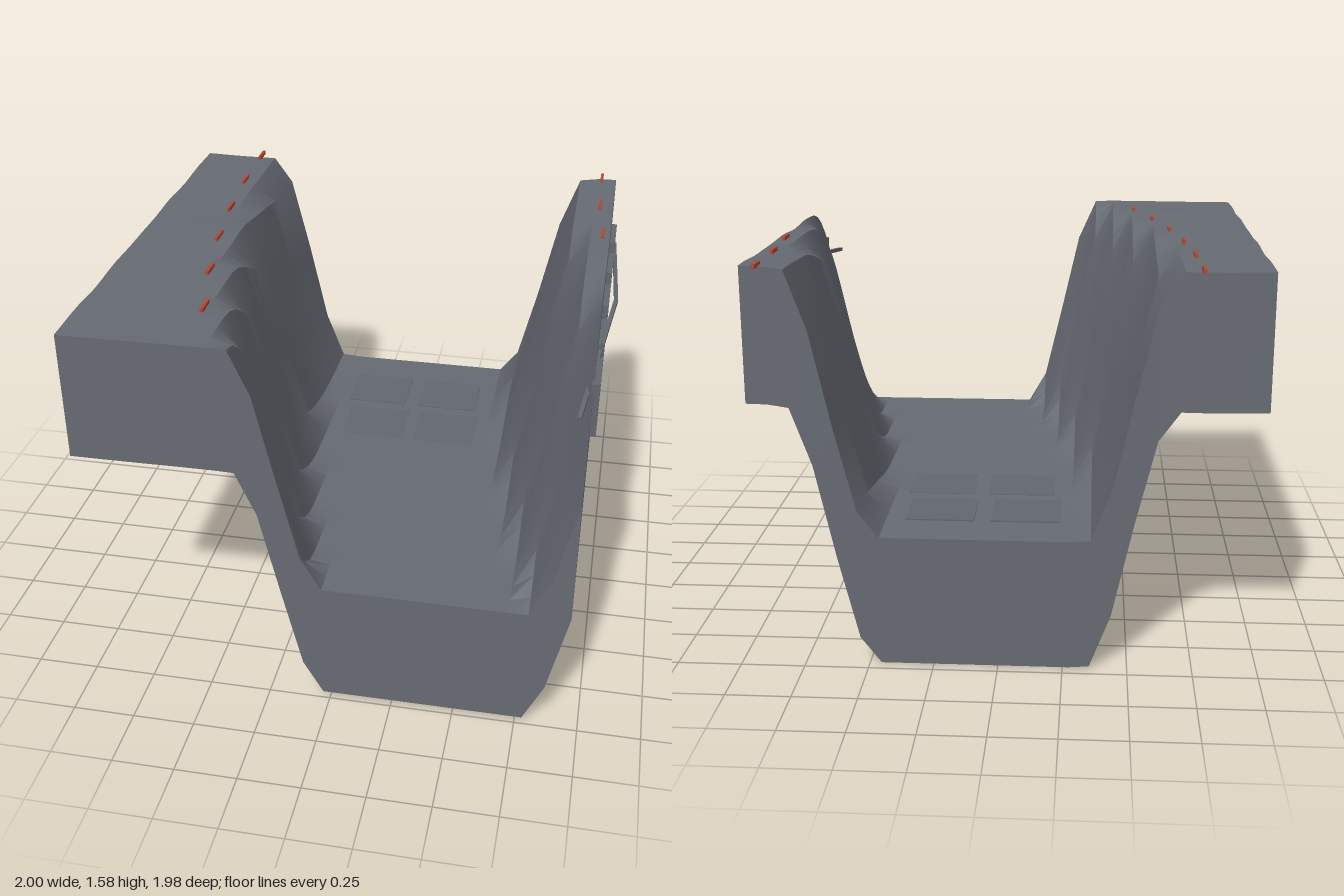
import * as THREE from 'three';
import { toCreasedNormals } from 'three/addons/utils/BufferGeometryUtils.js';

const X0 = -1, X1 = 0.94, Z0 = -0.95, Z1 = 0.985, N = 24, SKIRT = 0.52;

// Valley centre line bends towards +x as it nears the front.
const centre = z => 0.067 + 0.081 * (z - Z0) ** 2;

// Ground height: flat valley floor, smooth steep walls, slightly bumpy plateaus.
function height(x, z) {
  const floor = 0.52 + 0.017 * (z - Z0) / (Z1 - Z0);
  const t = THREE.MathUtils.smoothstep(Math.abs(x - centre(z)), 0.405, 0.73);
  const bump = 0.004 * Math.sin(9 * x + 2) * Math.cos(11 * z) + 0.002 * Math.sin(17 * z + 5 * x);
  return THREE.MathUtils.lerp(floor, 1.56 + bump, t);
}

export function createModel() {
  const group = new THREE.Group();
  const material = (name, color, side = THREE.FrontSide) => {
    const m = new THREE.MeshStandardMaterial({ color, side });
    m.name = name;
    return m;
  };
  const rock = material('slate grey', 0x666a72, THREE.DoubleSide);
  const stone = material('panel grey', 0x62666e);
  const red = material('marker red', 0xb5452f);

  const add = (name, geometry, mat, x = 0, y = 0, z = 0) => {
    const mesh = new THREE.Mesh(geometry, mat);
    mesh.name = name;
    mesh.position.set(x, y, z);
    group.add(mesh);
    return mesh;
  };

  // Terrain surface: a plane grid lifted by the height rule
  const ground = new THREE.PlaneGeometry(X1 - X0, Z1 - Z0, N, N);
  ground.rotateX(-Math.PI / 2);
  ground.translate((X0 + X1) / 2, 0, (Z0 + Z1) / 2);
  const p = ground.attributes.position;
  for (let i = 0; i < p.count; i++) p.setY(i, height(p.getX(i), p.getZ(i)));
  add('valleyTerrain', toCreasedNormals(ground, 0.5), rock);

  // Vertical skirts hanging from the four edges, open underneath
  const skirt = (name, ax, az, bx, bz) => {
    const g = new THREE.PlaneGeometry(1, 1, N, 1);
    const q = g.attributes.position;
    for (let i = 0; i < q.count; i++) {
      const s = q.getX(i) + 0.5;
      const x = ax + (bx - ax) * s, z = az + (bz - az) * s;
      q.setXYZ(i, x, height(x, z) - (q.getY(i) > 0 ? 0 : SKIRT), z);
    }
    g.computeVertexNormals();
    add(name, g, rock);
  };
  skirt('frontSkirt', X0, Z1, X1, Z1);
  skirt('backSkirt', X1, Z0, X0, Z0);
  skirt('leftSkirt', X1, Z1, X1, Z0);
  skirt('rightSkirt', X0, Z0, X0, Z1);

  // Row of upright panels on the outer wall
  for (let i = 0; i < 5; i++) {
    add('wallPanel', new THREE.BoxGeometry(0.03, 0.22, 0.21), stone, 0.948, 1.3, 0.61 - 0.325 * i);
  }

  // Bent rail running past the panels
  const beam = (a, b) => {
    const from = new THREE.Vector3(...a), to = new THREE.Vector3(...b);
    const mesh = add('rail', new THREE.BoxGeometry(0.016, 0.016, from.distanceTo(to)), stone);
    mesh.position.copy(from).add(to).multiplyScalar(0.5);
    mesh.lookAt(to);
  };
  beam([0.9, 1.333, 0.84], [0.99, 1.41, 0.0]);
  beam([0.99, 1.41, 0.0], [0.96, 1.333, -0.75]);

  // Floor slabs lying almost flush with the valley floor
  for (const [x, z] of [[-0.095, -0.63], [0.243, -0.63], [-0.063, -0.32], [0.27, -0.32]]) {
    add('floorSlab', new THREE.BoxGeometry(0.272, 0.009, 0.25), stone, x, 0.5225, z);
  }

  // Red markers along both rims
  for (let i = 0; i < 6; i++) {
    const z = Z0 + 0.324 * i;
    for (const side of [-1, 1]) {
      const x = centre(z) + side * 0.808;
      if (x < X1) add('rimMarker', new THREE.BoxGeometry(0.012, 0.016, 0.085), red, x, 1.567, z);
    }
  }
  return group;
}
